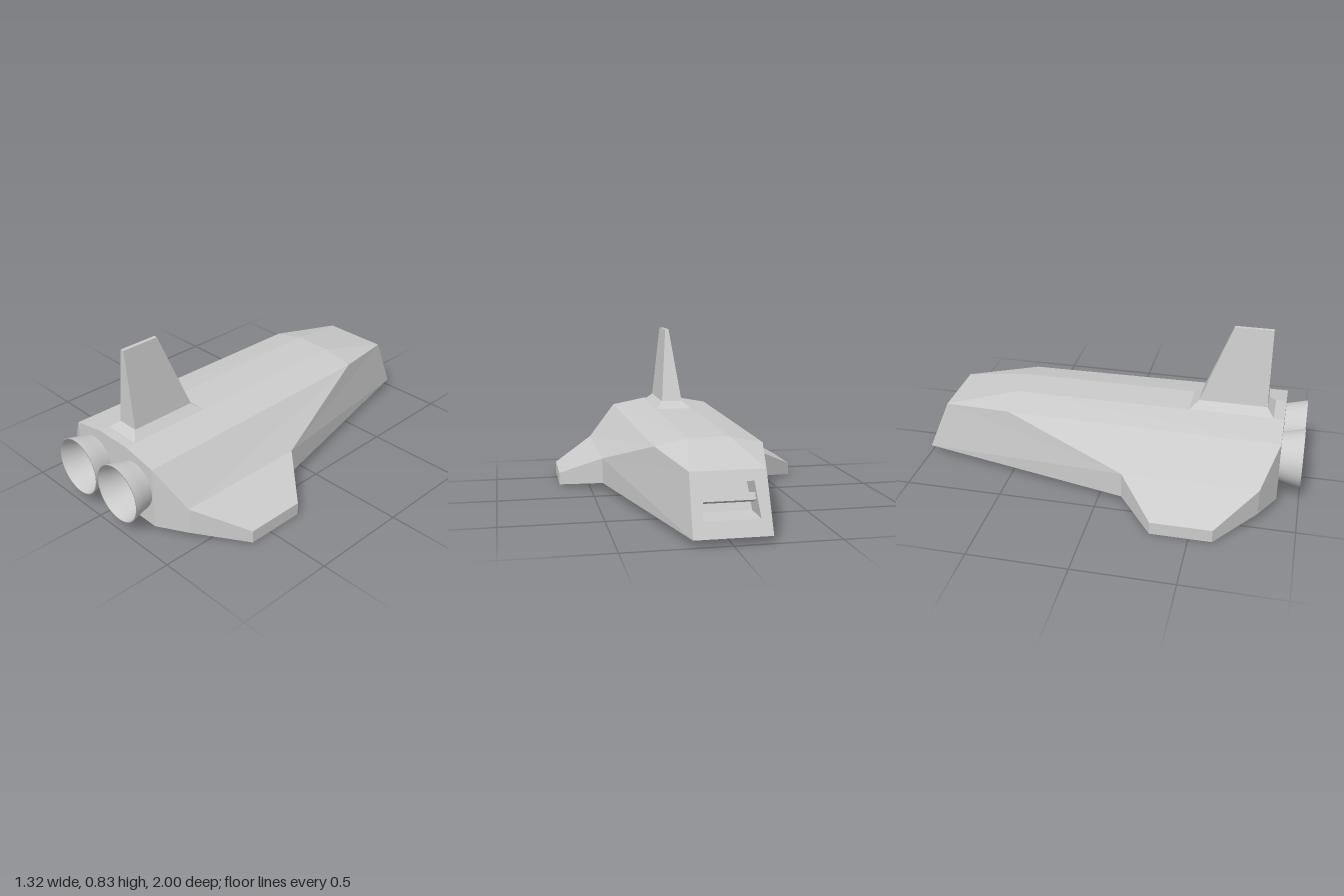
import * as THREE from 'three';

const grey = () => new THREE.MeshStandardMaterial({ color: 0xcccccc, flatShading: true });

// Flat panels, mirrored in x, each facing away from `centre` (or towards it when inward)
function panels(name, faces, centre, inward = false) {
  const pos = [];
  const c0 = new THREE.Vector3(...centre);
  for (const face of faces) {
    const p = face.map(a => new THREE.Vector3(...a));
    for (let i = 1; i < p.length - 1; i++) {
      let t = [p[0], p[i], p[i + 1]];
      const n = t[1].clone().sub(t[0]).cross(t[2].clone().sub(t[0]));
      const out = t[0].clone().add(t[1]).add(t[2]).divideScalar(3).sub(c0);
      if ((n.dot(out) < 0) !== inward) t = [t[0], t[2], t[1]];
      for (const v of t) pos.push(v.x, v.y, v.z);
      for (const v of [t[0], t[2], t[1]]) pos.push(-v.x, v.y, v.z);
    }
  }
  const g = new THREE.BufferGeometry();
  g.setAttribute('position', new THREE.Float32BufferAttribute(pos, 3));
  g.computeVertexNormals();
  const mesh = new THREE.Mesh(g, grey());
  mesh.name = name;
  return mesh;
}

// Sections are [half width, y, z front, z rear], joined bottom to top
function taperedFin(name, sections) {
  const faces = [];
  for (let i = 0; i < sections.length - 1; i++) {
    const [w, y, f, r] = sections[i], [W, Y, F, R] = sections[i + 1];
    faces.push([[w, y, f], [w, y, r], [W, Y, R], [W, Y, F]]);
    faces.push([[0, y, f], [w, y, f], [W, Y, F], [0, Y, F]]);
    faces.push([[0, y, r], [w, y, r], [W, Y, R], [0, Y, R]]);
  }
  const [w, y, f, r] = sections[sections.length - 1];
  faces.push([[0, y, f], [w, y, f], [w, y, r], [0, y, r]]);
  return panels(name, faces, [0, 0.45, 0.68]);
}

export function createModel() {
  const model = new THREE.Group();
  model.name = 'shuttle';
  const engineX = 0.153, engineY = 0.21;

  // Key hull corners on the left side
  const noseLow = [0.18, 0.035, -1], noseTop = [0.175, 0.31, -0.885];
  const ridgeFront = [0.1, 0.39, -0.51], ridgeRear = [0.1, 0.39, 0.89];
  const shoulderFront = [0.265, 0.355, -0.51], shoulderRear = [0.285, 0.355, 0.89];
  const rootFront = [0.44, 0.175, 0.125], rootRear = [0.44, 0.175, 0.81];
  const rootFrontLow = [0.44, 0.04, 0.125], rootRearLow = [0.44, 0.04, 0.81];
  const rearLow = [0.285, 0.035, 0.89];
  const mid = p => [0, p[1], p[2]];

  // Intake opening lies in the sloping nose face
  const holeLow = [0.13, 0.107, -0.97], holeTop = [0.115, 0.262, -0.905];

  model.add(panels('hull', [
    [mid(ridgeFront), ridgeFront, ridgeRear, mid(ridgeRear)],
    [ridgeFront, shoulderFront, shoulderRear, ridgeRear],
    [noseTop, mid(noseTop), mid(ridgeFront), ridgeFront, shoulderFront],
    [shoulderFront, rootFront, rootRear, shoulderRear],
    [rootFront, shoulderFront, noseTop, noseLow, rootFrontLow],
    [shoulderRear, rootRear, rootRearLow, rearLow],
    [mid(noseLow), noseLow, rootFrontLow, rootRearLow, rearLow, mid(rearLow)],
    [mid(noseLow), noseLow, holeLow, mid(holeLow)],
    [noseLow, noseTop, holeTop, holeLow],
    [noseTop, mid(noseTop), mid(holeTop), holeTop],
  ], [0, 0.2, 0.2]));

  // Wings
  const tipFront = [0.66, 0.065, 0.31], tipRear = [0.66, 0.065, 0.615];
  const tipFrontLow = [0.66, 0, 0.31], tipRearLow = [0.66, 0, 0.615];
  model.add(panels('wings', [
    [rootFront, tipFront, tipRear, rootRear],
    [rootFrontLow, tipFrontLow, tipRearLow, rootRearLow],
    [rootFront, tipFront, tipFrontLow, rootFrontLow],
    [rootRear, tipRear, tipRearLow, rootRearLow],
    [tipFront, tipRear, tipRearLow, tipFrontLow],
  ], [0, 0.13, 0.46]));

  // Intake recess and the bar across it
  const deep = p => [p[0], p[1], p[2] + 0.15];
  model.add(panels('intakeRecess', [
    [mid(holeLow), holeLow, deep(holeLow), mid(deep(holeLow))],
    [mid(holeTop), holeTop, deep(holeTop), mid(deep(holeTop))],
    [holeLow, holeTop, deep(holeTop), deep(holeLow)],
    [mid(deep(holeLow)), deep(holeLow), deep(holeTop), mid(deep(holeTop))],
  ], [0, 0.185, -0.87], true));
  const bar = new THREE.Mesh(new THREE.BoxGeometry(0.24, 0.035, 0.05), grey());
  bar.name = 'intakeBar';
  bar.position.set(0, 0.185, -0.885);
  bar.rotation.x = 0.4;
  model.add(bar);

  // Rear bulkhead with an opening for each engine
  const outline = [rearLow, shoulderRear, ridgeRear].map(p => new THREE.Vector2(p[0], p[1]));
  const mirrored = outline.map(p => new THREE.Vector2(-p.x, p.y)).reverse();
  const rear = new THREE.Shape([...outline, ...mirrored]);
  for (const s of [1, -1]) {
    rear.holes.push(new THREE.Path().absarc(s * engineX, engineY, 0.12, 0, Math.PI * 2, true));
  }
  const bulkhead = new THREE.Mesh(new THREE.ShapeGeometry(rear, 32), grey());
  bulkhead.name = 'rearBulkhead';
  bulkhead.position.z = 0.89;
  model.add(bulkhead);

  // Engine bells: outer skirt, lip, then the hollow throat as [radius, z]
  const bell = [
    [0.115, 0.84], [0.122, 0.89], [0.134, 0.94], [0.148, 1], [0.142, 1],
    [0.128, 0.94], [0.116, 0.88], [0.104, 0.83], [0.09, 0.785], [0.075, 0.75],
    [0.055, 0.72], [0.03, 0.705], [0, 0.705],
  ].map(([r, z]) => new THREE.Vector2(r, z));
  const bellGeometry = new THREE.LatheGeometry(bell, 48).rotateX(Math.PI / 2);
  for (const s of [1, -1]) {
    const material = new THREE.MeshStandardMaterial({ color: 0xcccccc, side: THREE.DoubleSide });
    const engine = new THREE.Mesh(bellGeometry, material);
    engine.name = s > 0 ? 'leftEngine' : 'rightEngine';
    engine.position.set(s * engineX, engineY, 0);
    model.add(engine);
  }

  // Tail fin on its flared foot
  model.add(taperedFin('tailFin', [
    [0.1, 0.388, 0.405, 0.838],
    [0.057, 0.428, 0.452, 0.8],
    [0.01, 0.83, 0.605, 0.8],
  ]));

  return model;
}
